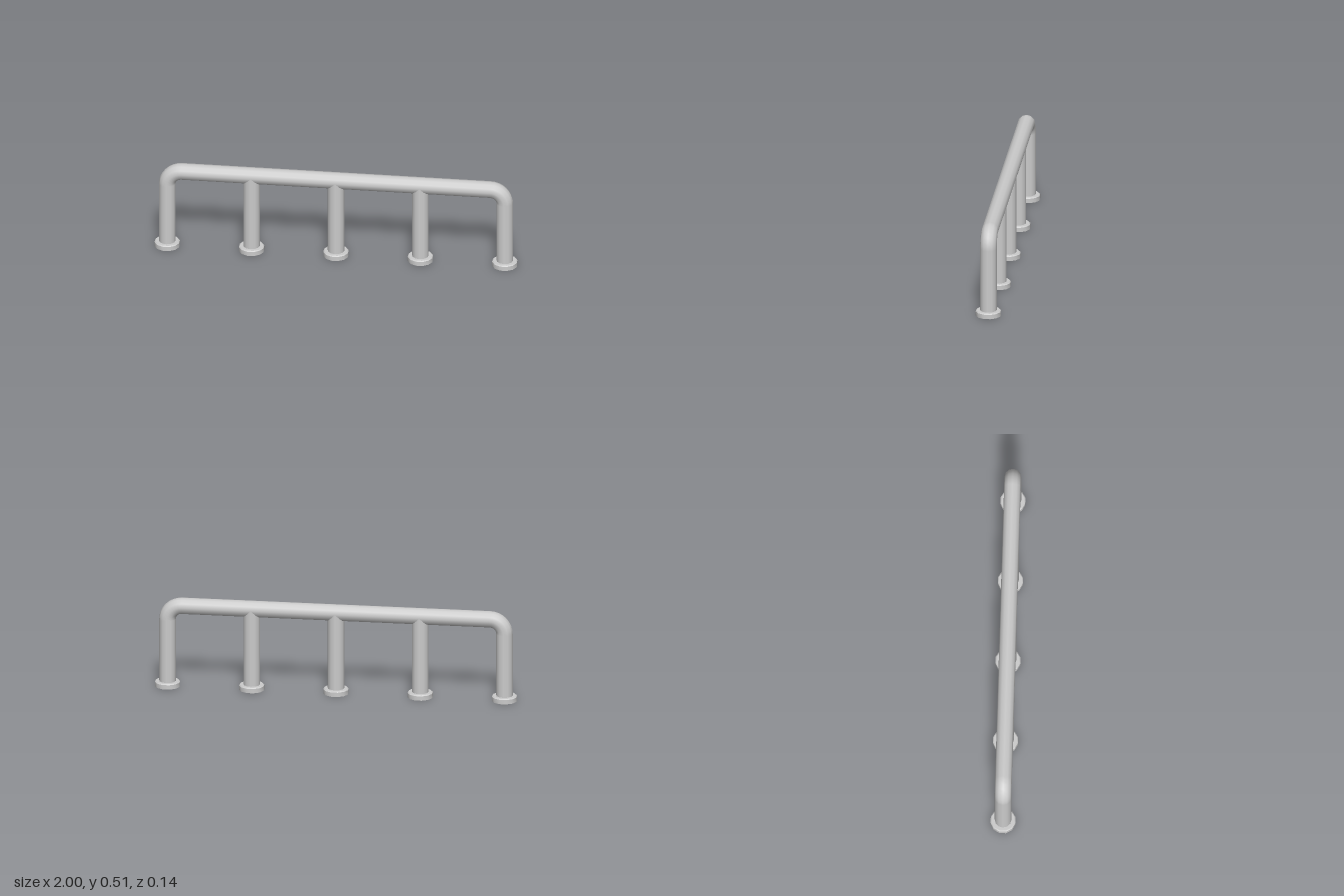
import * as THREE from 'three';
import { toCreasedNormals } from 'three/addons/utils/BufferGeometryUtils.js';

const R = 0.046;        // pipe radius
const RAIL_Y = 0.466;   // rail centre height
const END_X = 0.932;    // outer leg position
const BEND = 0.08;      // bend radius at the pipe centre
const SIDES = 12;

export function createModel() {
  const group = new THREE.Group();
  const mat = new THREE.MeshStandardMaterial({ color: 0xcccccc, side: THREE.DoubleSide });

  const add = (name, geometry, x, y) => {
    const mesh = new THREE.Mesh(geometry, mat);
    mesh.name = name;
    mesh.position.set(x, y, 0);
    group.add(mesh);
    return mesh;
  };
  const pipe = (length) => new THREE.CylinderGeometry(R, R, length, SIDES, 1, true);

  // Top rail
  const rail = add('topRail', pipe(2 * (END_X - BEND)), 0, RAIL_Y);
  rail.rotation.z = Math.PI / 2;

  // Rounded corners joining the rail to the end legs
  for (const side of [1, -1]) {
    const bend = add(side > 0 ? 'leftBend' : 'rightBend',
      new THREE.TorusGeometry(BEND, R, SIDES, 8, Math.PI / 2),
      side * (END_X - BEND), RAIL_Y - BEND);
    if (side < 0) bend.rotation.y = Math.PI;
  }

  // Foot collar: chamfered ring, recessed and open underneath
  const profile = [
    [0.036, 0.03], [0.036, 0.015], [0.05, 0.015], [0.05, 0],
    [0.0703, 0], [0.0703, 0.025], [0.065, 0.03], [0.036, 0.03],
  ].map(([r, y]) => new THREE.Vector2(r, y));
  const collar = toCreasedNormals(
    new THREE.LatheGeometry(profile, SIDES, Math.PI / SIDES), 0.6);

  // Five legs: the end pair meets the bends, the others run into the rail
  const base = 0.015;
  for (let i = -2; i <= 2; i++) {
    const x = i * END_X / 2;
    const top = Math.abs(i) === 2 ? RAIL_Y - BEND : RAIL_Y;
    add('leg', pipe(top - base), x, (top + base) / 2);
    add('footCollar', collar, x, 0);
  }
  return group;
}
